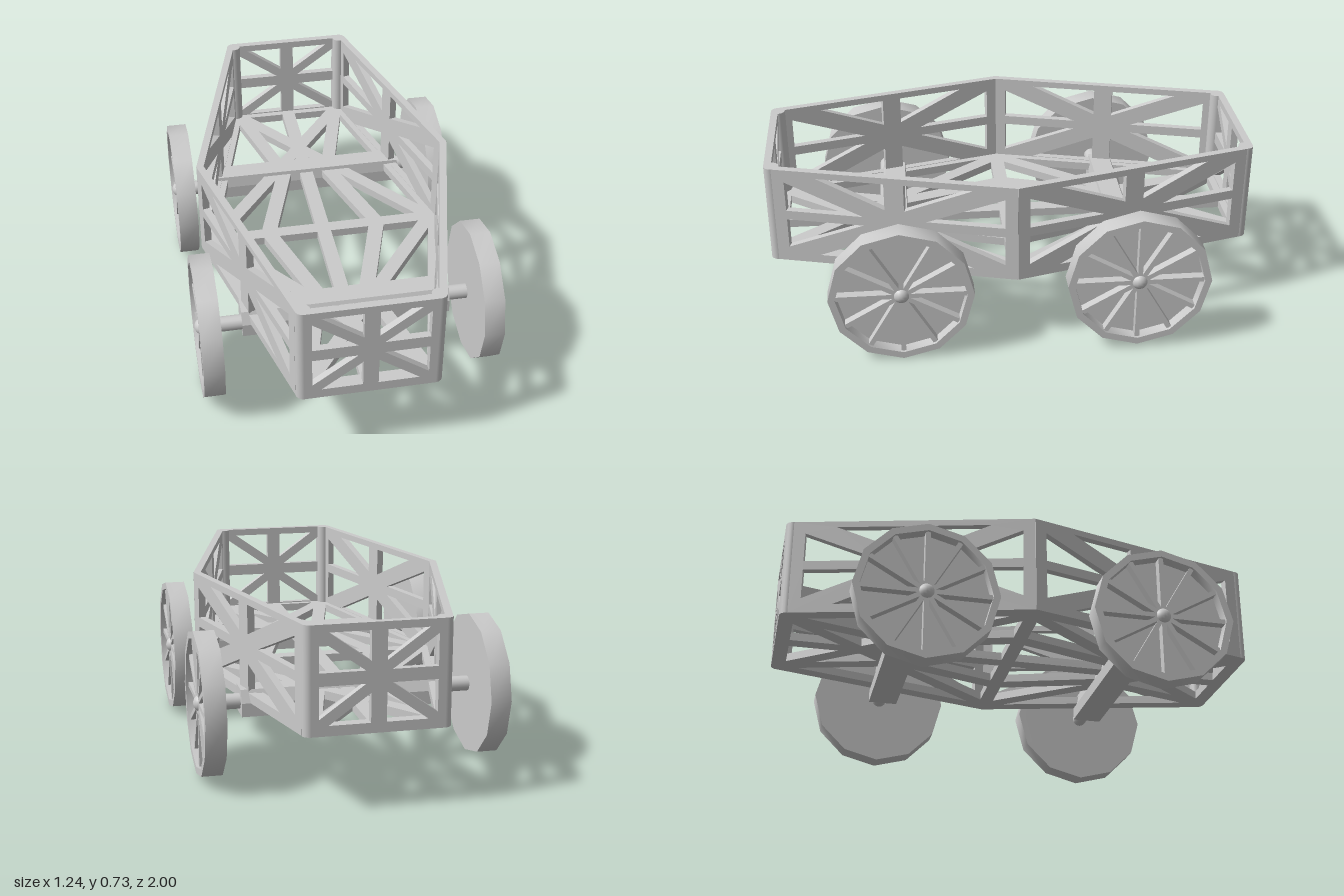
import * as THREE from 'three';
import { toCreasedNormals } from 'three/addons/utils/BufferGeometryUtils.js';

const mat = new THREE.MeshStandardMaterial({ color: 0xcccccc });

function add(parent, name, geometry, x = 0, y = 0, z = 0) {
  const mesh = new THREE.Mesh(geometry, mat);
  mesh.name = name;
  mesh.position.set(x, y, z);
  parent.add(mesh);
  return mesh;
}

const polygon = (points) => points.map(([x, y]) => new THREE.Vector2(x, y));
const extrude = (shape, depth) =>
  new THREE.ExtrudeGeometry(shape, { depth, bevelEnabled: false });

// Truss panel: a plate with eight triangular holes; outer face at local z = 0
function trussPanel(width, upperTriangle, sideTriangle) {
  const w = width / 2, h = 0.21;
  const shape = new THREE.Shape(polygon([[-w, -h], [w, -h], [w, h], [-w, h]]));
  for (const sx of [-1, 1]) for (const sy of [-1, 1]) {
    for (const tri of [upperTriangle, sideTriangle]) {
      shape.holes.push(new THREE.Path(polygon(tri.map(([x, y]) => [x * sx, y * sy + 0.005]))));
    }
  }
  return extrude(shape, 0.03).translate(0, 0, -0.03);
}

// Flat floor bar between two points of the plan
function floorBar(parent, [x1, z1], [x2, z2], width) {
  const length = Math.hypot(x2 - x1, z2 - z1);
  const bar = add(parent, 'floorBar', new THREE.BoxGeometry(width, 0.035, length),
    (x1 + x2) / 2, 0.3275, (z1 + z2) / 2);
  bar.rotation.y = Math.atan2(x2 - x1, z2 - z1);
}

// Wheel with its outer face toward local +z, centred on its width
function createWheel() {
  const wheel = new THREE.Group();
  wheel.name = 'wheel';
  const sides = 12, r = 0.293, width = 0.084, back = -width / 2;
  const ring = (radius) => polygon(Array.from({ length: sides }, (_, i) => {
    const a = (i / sides) * Math.PI * 2;
    return [Math.cos(a) * radius, Math.sin(a) * radius];
  }));
  const rimShape = new THREE.Shape(ring(r));
  rimShape.holes.push(new THREE.Path(ring(0.264)));
  add(wheel, 'rim', toCreasedNormals(extrude(rimShape, width), 0.6), 0, 0, back);
  add(wheel, 'wheelDisc', extrude(new THREE.Shape(ring(0.27)), 0.035), 0, 0, back);
  for (let i = 0; i < sides; i++) {
    const spoke = new THREE.BoxGeometry(0.25, 0.02, 0.04).translate(0.14, 0, 0.01);
    add(wheel, 'spoke', spoke).rotation.z = (i / sides) * Math.PI * 2;
  }
  add(wheel, 'hub', new THREE.SphereGeometry(0.036, 16, 12), 0, 0, 0.012);
  return wheel;
}

export function createModel() {
  const model = new THREE.Group();
  model.name = 'wagon';

  // Body walls: two ends and four angled sides
  const body = new THREE.Group();
  body.name = 'body';
  model.add(body);
  const endGeometry = trussPanel(0.51,
    [[0.03, 0.175], [0.19, 0.175], [0.03, 0.06]],
    [[0.225, 0.025], [0.225, 0.15], [0.05, 0.025]]);
  const sideGeometry = trussPanel(1.0,
    [[0.04, 0.178], [0.32, 0.178], [0.04, 0.06]],
    [[0.45, 0.02], [0.45, 0.15], [0.13, 0.02]]);
  for (const sz of [-1, 1]) {
    add(body, 'endPanel', endGeometry, 0, 0.52, sz).rotation.y = sz > 0 ? 0 : Math.PI;
    for (const sx of [-1, 1]) {
      const side = add(body, 'sidePanel', sideGeometry, sx * 0.41, 0.52, sz * 0.485);
      side.rotation.y = Math.atan2(sx * 0.97, sz * 0.25);
      add(body, 'cornerPost', new THREE.CylinderGeometry(0.03, 0.03, 0.42, 16),
        sx * 0.255, 0.52, sz * 0.97);
    }
  }

  // Floor truss
  const floor = new THREE.Group();
  floor.name = 'floor';
  model.add(floor);
  floorBar(floor, [-0.51, 0], [0.51, 0], 0.06);
  floorBar(floor, [0, -0.99], [0, 0.99], 0.06);
  for (const sz of [-1, 1]) {
    floorBar(floor, [-0.255, sz * 0.97], [0.255, sz * 0.97], 0.06);
    for (const sx of [-1, 1]) {
      floorBar(floor, [sx * 0.5, 0], [sx * 0.255, sz * 0.965], 0.05);
      floorBar(floor, [sx * 0.24, sz * 0.96], [-sx * 0.48, 0], 0.06);
      floorBar(floor, [sx * 0.235, sz * 0.95], [sx * 0.11, sz * 0.48], 0.06);
      floorBar(floor, [sx * 0.09, sz * 0.48], [sx * 0.24, 0], 0.065);
    }
  }

  // Axle housings under and through the floor
  const housing = new THREE.Shape(polygon([
    [0.42, 0.255], [0.545, 0.255], [0.545, 0.31], [0.52, 0.36], [0.43, 0.36], [0.42, 0.31]]));
  const housingGeometry = extrude(housing, 0.86).translate(0, 0, -0.43);
  for (const sz of [-1, 1]) {
    add(model, 'axleHousing', housingGeometry).rotation.y = -sz * Math.PI / 2;
  }
  // Keep each housing upright with its chamfer facing outward
  model.children.filter((c) => c.name === 'axleHousing');

  // Wheels and axle stubs: centre of each wheel
  const wheels = [
    [-0.573, 0.307, 0.512], [0.56, 0.295, 0.472],
    [-0.573, 0.307, -0.455], [0.567, 0.308, -0.488]];
  for (const [x, y, z] of wheels) {
    const s = Math.sign(x);
    const wheel = createWheel();
    wheel.position.set(x, y, z);
    wheel.rotation.y = s * Math.PI / 2;
    model.add(wheel);
    const axle = new THREE.CylinderGeometry(0.031, 0.031, 0.24, 20).rotateZ(Math.PI / 2);
    add(model, 'axle', axle, x - s * 0.14, y - 0.002, z);
  }
  return model;
}
